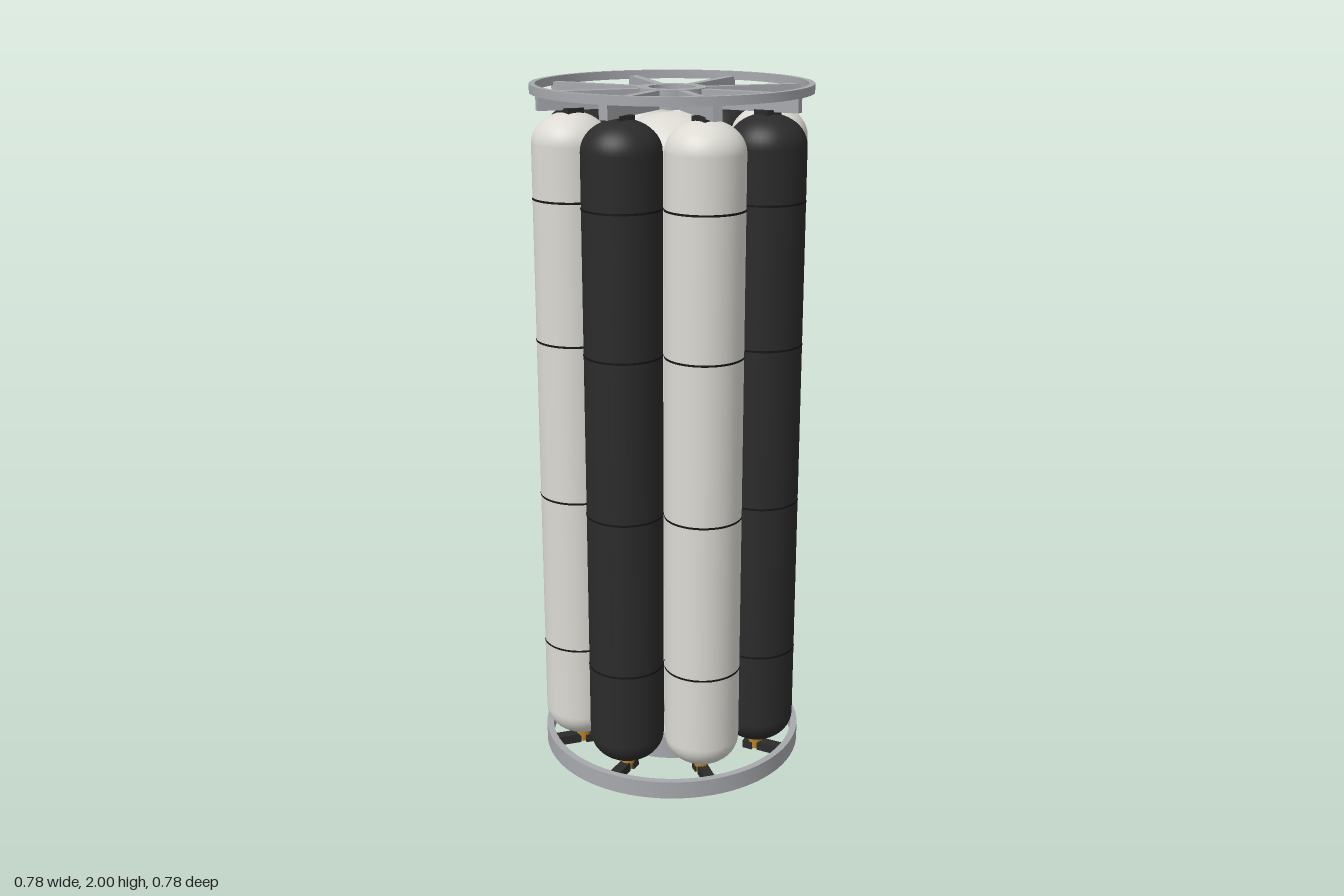
import * as THREE from 'three';
import { toCreasedNormals } from 'three/addons/utils/BufferGeometryUtils.js';

const mat = (name, color) => {
  const m = new THREE.MeshStandardMaterial({ color });
  m.name = name;
  return m;
};

export function createModel() {
  const model = new THREE.Group();
  model.name = 'tankCluster';
  const white = mat('offWhite', 0xdcdad3);
  const black = mat('charcoal', 0x2b2b2b);
  const grey = mat('metalGrey', 0xa7a9ad);
  const gold = mat('gold', 0xb5822a);
  const seam = mat('seamBlack', 0x161616);

  const add = (parent, name, geo, material, x = 0, y = 0, z = 0) => {
    const mesh = new THREE.Mesh(geo, material);
    mesh.name = name;
    mesh.position.set(x, y, z);
    parent.add(mesh);
    return mesh;
  };

  // Flat-faced ring standing between two heights
  const ring = (outer, inner, y0, y1) => {
    const shape = new THREE.Shape().absarc(0, 0, outer, 0, Math.PI * 2);
    shape.holes.push(new THREE.Path().absarc(0, 0, inner, 0, Math.PI * 2, true));
    const geo = new THREE.ExtrudeGeometry(shape, { depth: y1 - y0, bevelEnabled: false, curveSegments: 40 });
    geo.rotateX(-Math.PI / 2).translate(0, y0, 0);
    return toCreasedNormals(geo, 0.6);
  };

  // Cylinder with elliptical domes at both ends
  const tank = (r, y0, y1, dome) => {
    const pts = [];
    for (let i = 0; i <= 12; i++) {
      const a = (i / 12) * Math.PI / 2;
      pts.push(new THREE.Vector2(r * Math.sin(a), y0 + dome * (1 - Math.cos(a))));
    }
    for (let i = 12; i >= 0; i--) {
      const a = (i / 12) * Math.PI / 2;
      pts.push(new THREE.Vector2(r * Math.sin(a), y1 - dome * (1 - Math.cos(a))));
    }
    return new THREE.LatheGeometry(pts, 40);
  };

  // Core tank
  add(model, 'coreTank', tank(0.16, 0.1, 1.92, 0.1), white);

  // Outer tanks with seams, caps and valves
  const tankGeo = tank(0.108, 0.065, 1.932, 0.085);
  const seamGeo = new THREE.CylinderGeometry(0.1095, 0.1095, 0.006, 40, 1, true);
  const capGeo = new THREE.BoxGeometry(0.052, 0.022, 0.052);
  const valveGeo = new THREE.CylinderGeometry(0.014, 0.014, 0.05, 16);
  const collarGeo = new THREE.CylinderGeometry(0.021, 0.021, 0.012, 16);
  const armGeo = new THREE.BoxGeometry(0.075, 0.028, 0.03);
  const spokeGeo = new THREE.BoxGeometry(0.295, 0.05, 0.025);
  for (let i = 0; i < 8; i++) {
    const a = Math.PI / 8 + i * Math.PI / 4;
    const x = 0.287 * Math.cos(a), z = 0.287 * Math.sin(a);
    const unit = new THREE.Group();
    unit.name = 'outerTankUnit' + (i + 1);
    unit.position.set(x, 0, z);
    model.add(unit);
    add(unit, 'outerTank', tankGeo, i % 2 ? black : white);
    for (const y of [0.375, 0.84, 1.302, 1.7]) add(unit, 'seam', seamGeo, seam, 0, y);
    add(unit, 'topCap', capGeo, black, 0, 1.93);

    // Valve and its radial arm under the tank
    const valve = new THREE.Group();
    valve.name = 'valve';
    valve.rotation.y = -a;
    unit.add(valve);
    add(valve, 'valveStem', valveGeo, gold, 0, 0.047);
    add(valve, 'valveCollar', collarGeo, gold, 0, 0.05);
    add(valve, 'valveArm', armGeo, black, 0.048, 0.034);
    add(valve, 'valveBlock', new THREE.BoxGeometry(0.03, 0.024, 0.036), black, -0.02, 0.03);

    // Upper frame spoke
    const spoke = add(model, 'topSpoke', spokeGeo, grey, 0.232 * Math.cos(a), 1.961, 0.232 * Math.sin(a));
    spoke.rotation.y = -a;
  }

  // Upper frame
  add(model, 'topRing', ring(0.39, 0.374, 1.976, 2), grey);
  add(model, 'topHub', ring(0.097, 0.065, 1.936, 1.988), grey);

  // Lower frame
  add(model, 'baseRing', ring(0.39, 0.37, 0, 0.053), grey);
  add(model, 'innerBaseRing', ring(0.215, 0.188, 0.03, 0.1), grey);

  // Core outlet pipe and coils
  add(model, 'outletPipe', new THREE.CylinderGeometry(0.025, 0.025, 0.1, 24), white, 0, 0.075);
  for (const s of [-1, 1]) {
    for (let k = 0; k < 3; k++) {
      const coil = add(model, 'coil', new THREE.TorusGeometry(0.026, 0.005, 8, 24), gold, s * 0.06, 0.06 + k * 0.018, s * 0.035);
      coil.rotation.x = Math.PI / 2;
    }
    add(model, 'coilCore', new THREE.CylinderGeometry(0.012, 0.012, 0.07, 16), black, s * 0.06, 0.085, s * 0.035);
  }
  return model;
}
